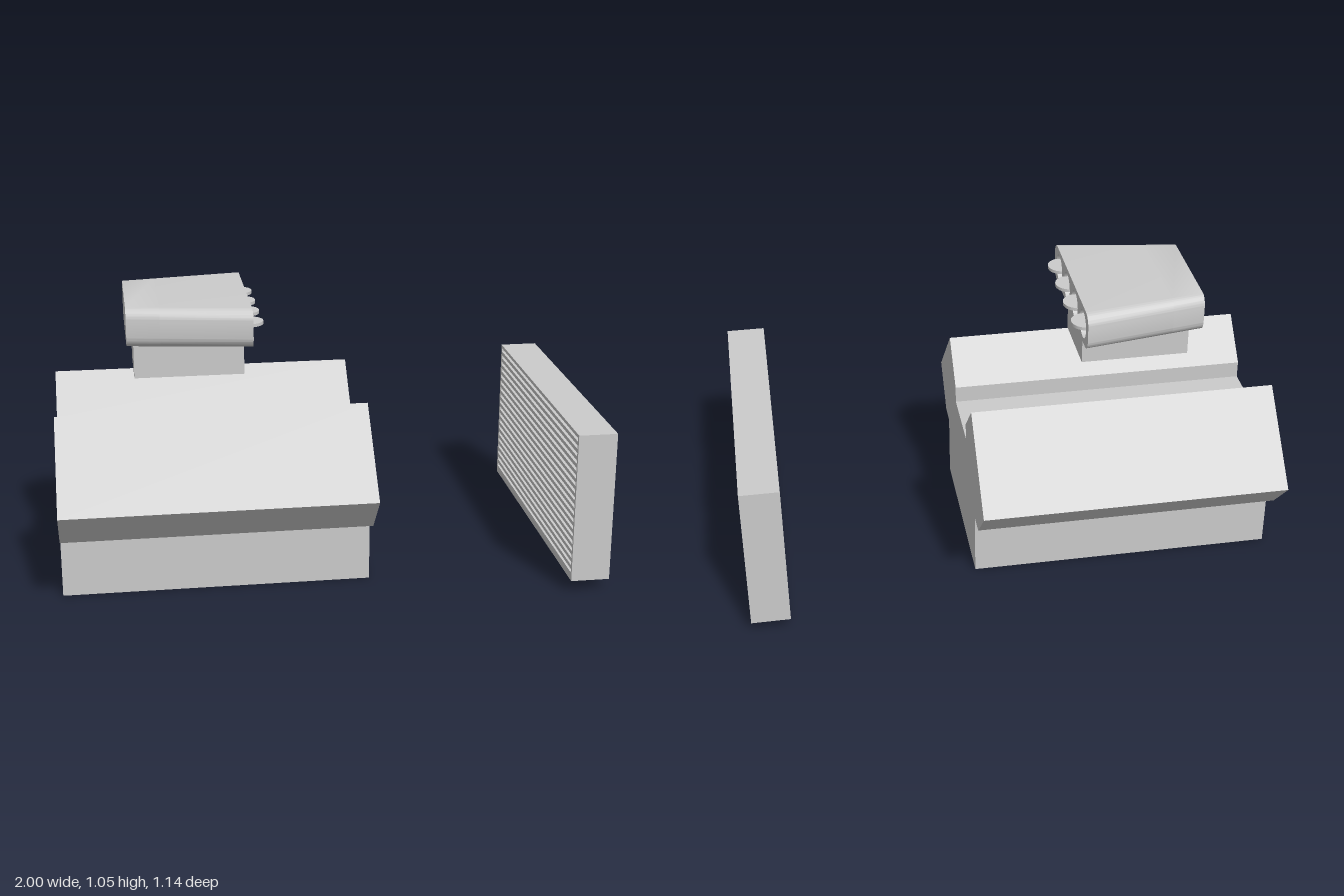
import * as THREE from 'three';
import { toCreasedNormals } from 'three/addons/utils/BufferGeometryUtils.js';

const grey = new THREE.MeshStandardMaterial({ color: 0xcccccc });

function add(parent, name, geometry) {
  const mesh = new THREE.Mesh(geometry, grey);
  mesh.name = name;
  parent.add(mesh);
  return mesh;
}

// Extrude a (z, y) profile along x, from x0 to x1; profiles are symmetric in z
function extrudeX(shape, x0, x1) {
  return new THREE.ExtrudeGeometry(shape, { depth: x1 - x0, bevelEnabled: false, curveSegments: 12 })
    .rotateY(Math.PI / 2)
    .translate(x0, 0, 0);
}

function rect(path, halfW, y0, y1) {
  path.moveTo(-halfW, y0);
  path.lineTo(halfW, y0);
  path.lineTo(halfW, y1);
  path.lineTo(-halfW, y1);
  path.closePath();
  return path;
}

function roundedRect(halfW, y0, y1, r) {
  const s = new THREE.Shape();
  s.moveTo(-halfW + r, y0);
  s.absarc(halfW - r, y0 + r, r, -Math.PI / 2, 0);
  s.absarc(halfW - r, y1 - r, r, 0, Math.PI / 2);
  s.absarc(-halfW + r, y1 - r, r, Math.PI / 2, Math.PI);
  s.absarc(-halfW + r, y0 + r, r, Math.PI, Math.PI * 1.5);
  return s;
}

export function createModel() {
  const model = new THREE.Group();
  model.name = 'engine';

  // V-shaped engine block
  const half = [[0.34, 0], [0.34, 0.245], [0.42, 0.245], [0.555, 0.39], [0.272, 0.673], [0.13, 0.53], [0.13, 0.465]];
  const outline = [...half, ...half.map(([z, y]) => [-z, y]).reverse()];
  const block = new THREE.Shape(outline.map(([z, y]) => new THREE.Vector2(z, y)));
  add(model, 'engineBlock', extrudeX(block, -1, 0.14));

  // Intake: neck and a scoop that narrows towards the rear
  const intake = new THREE.Group();
  intake.name = 'intake';
  model.add(intake);
  add(intake, 'intakeNeck', new THREE.BoxGeometry(0.405, 0.15, 0.264).translate(-0.502, 0.835, 0));

  const front = -0.28, rear = -0.73, floor = -0.61;
  const holes = [-0.215, -0.0717, 0.0717, 0.215];
  const taper = (geometry) => {
    const p = geometry.attributes.position;
    for (let i = 0; i < p.count; i++) {
      const t = (front - p.getX(i)) / (front - rear);
      p.setZ(i, p.getZ(i) * (1 - 0.26 * t));
    }
    return toCreasedNormals(geometry, 0.6);
  };
  const mouth = roundedRect(0.303, 0.903, 1.046, 0.045);
  for (const z of holes) {
    mouth.holes.push(new THREE.Path().absarc(z, 0.974, 0.053, 0, Math.PI * 2, true));
  }
  add(intake, 'scoopFront', taper(extrudeX(mouth, floor, front)));
  add(intake, 'scoopRear', taper(extrudeX(roundedRect(0.303, 0.903, 1.046, 0.045), rear, floor)));

  // Butterfly plates in the scoop openings
  for (const z of holes) {
    const plate = add(intake, 'butterflyPlate', new THREE.CylinderGeometry(0.053, 0.053, 0.012, 28));
    plate.position.set(-0.289, 0.982, z);
  }

  // Radiator with open horizontal slots
  const frame = rect(new THREE.Shape(), 0.571, 0.045, 0.615);
  const slots = 19, pitch = 0.0285, y0 = 0.075;
  for (let i = 0; i < slots; i++) {
    const y = y0 + i * pitch;
    frame.holes.push(rect(new THREE.Path(), 0.559, y, y + 0.0135));
  }
  add(model, 'radiator', extrudeX(frame, 0.856, 1));

  return model;
}
